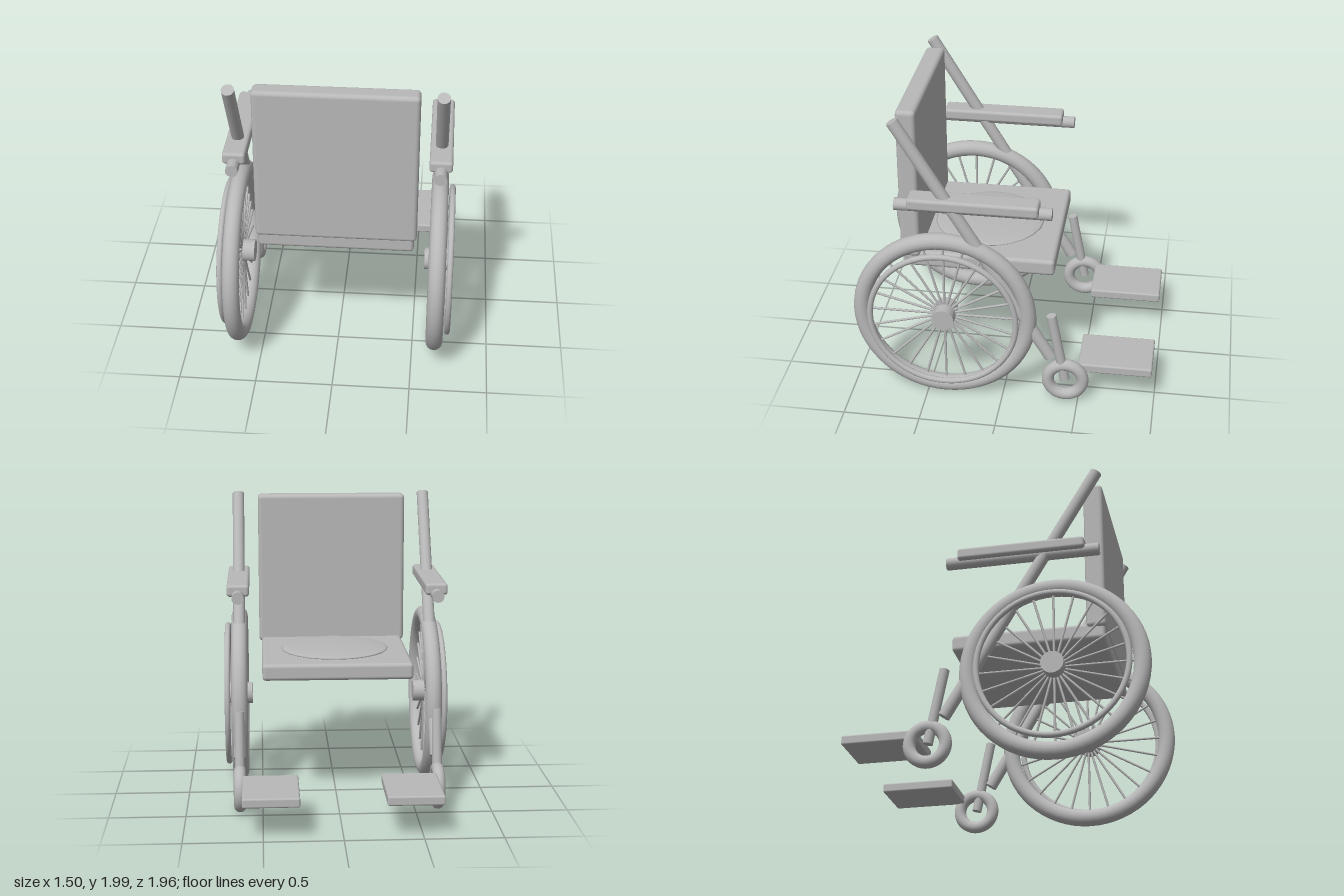
import * as THREE from 'three';
import { RoundedBoxGeometry } from 'three/addons/geometries/RoundedBoxGeometry.js';

const WHEEL_X = 0.648;

export function createModel() {
  const model = new THREE.Group();
  model.name = 'wheelchair';
  const grey = new THREE.MeshStandardMaterial({ color: 0xb8b8b8 });
  grey.name = 'plain grey';

  function add(parent, name, geometry, x = 0, y = 0, z = 0) {
    const mesh = new THREE.Mesh(geometry, grey);
    mesh.name = name;
    mesh.position.set(x, y, z);
    parent.add(mesh);
    return mesh;
  }

  // Rounded box given by its extents on each axis
  function block(parent, name, [x0, x1], [y0, y1], [z0, z1], radius) {
    const geometry = new RoundedBoxGeometry(x1 - x0, y1 - y0, z1 - z0, 3, radius);
    return add(parent, name, geometry, (x0 + x1) / 2, (y0 + y1) / 2, (z0 + z1) / 2);
  }

  // Straight tube between two points
  function rod(parent, name, from, to, radius, sides = 20) {
    const a = new THREE.Vector3(...from);
    const b = new THREE.Vector3(...to);
    const dir = b.clone().sub(a);
    const mesh = add(parent, name, new THREE.CylinderGeometry(radius, radius, dir.length(), sides));
    mesh.position.copy(a).add(b).multiplyScalar(0.5);
    mesh.quaternion.setFromUnitVectors(new THREE.Vector3(0, 1, 0), dir.normalize());
    return mesh;
  }

  // Ring standing in the side plane
  function ring(parent, name, radius, tube, x, y, z) {
    const geometry = new THREE.TorusGeometry(radius, tube, 16, 64).rotateY(Math.PI / 2);
    return add(parent, name, geometry, x, y, z);
  }

  // Seat, cushion and backrest
  block(model, 'seat', [-0.495, 0.495], [0.855, 0.965], [-0.315, 0.68], 0.025);
  block(model, 'backrest', [-0.512, 0.512], [0.935, 1.975], [0.56, 0.688], 0.028);
  const cushion = add(model, 'cushion', new THREE.SphereGeometry(0.365, 24, 16), 0, 0.97, 0.178);
  cushion.scale.y = 0.07;

  for (const [side, s] of [['left', 1], ['right', -1]]) {
    const half = new THREE.Group();
    half.name = side + 'Side';
    model.add(half);
    const x = s * WHEEL_X;

    // Large wheel with hand rim, hub and spokes
    const wheel = new THREE.Group();
    wheel.name = 'mainWheel';
    wheel.position.set(x, 0.607, 0.38);
    half.add(wheel);
    ring(wheel, 'tire', 0.547, 0.055, 0, 0, 0);
    ring(wheel, 'handRim', 0.477, 0.019, s * 0.082, 0, 0);
    rod(wheel, 'hub', [-0.085, 0, 0], [0.085, 0, 0], 0.073, 24);
    for (let i = 0; i < 24; i++) {
      const a = (i / 24) * Math.PI * 2;
      rod(wheel, 'spoke', [0, 0, 0], [0, Math.sin(a) * 0.51, Math.cos(a) * 0.51], 0.008, 8);
    }

    // Slanted frame tube, arm tube and arm pad
    rod(half, 'frameTube', [x, 1.975, 0.672], [x, 0.337, -0.315], 0.04);
    rod(half, 'armTube', [x, 1.405, 0.68], [x, 1.405, -0.315], 0.04);
    block(half, 'armPad', [x - 0.073, x + 0.073], [1.4, 1.477], [-0.235, 0.592], 0.02);

    // Front caster and its stem
    ring(half, 'caster', 0.115, 0.04, x, 0.163, -0.415);
    rod(half, 'casterStem', [x, 0.655, -0.317], [x, 0.165, -0.413], 0.032);

    // Footplate
    const fx = s * 0.45;
    block(half, 'footplate', [fx - 0.18, fx + 0.18], [0.215, 0.277], [-0.98, -0.495], 0.012);
  }
  return model;
}
